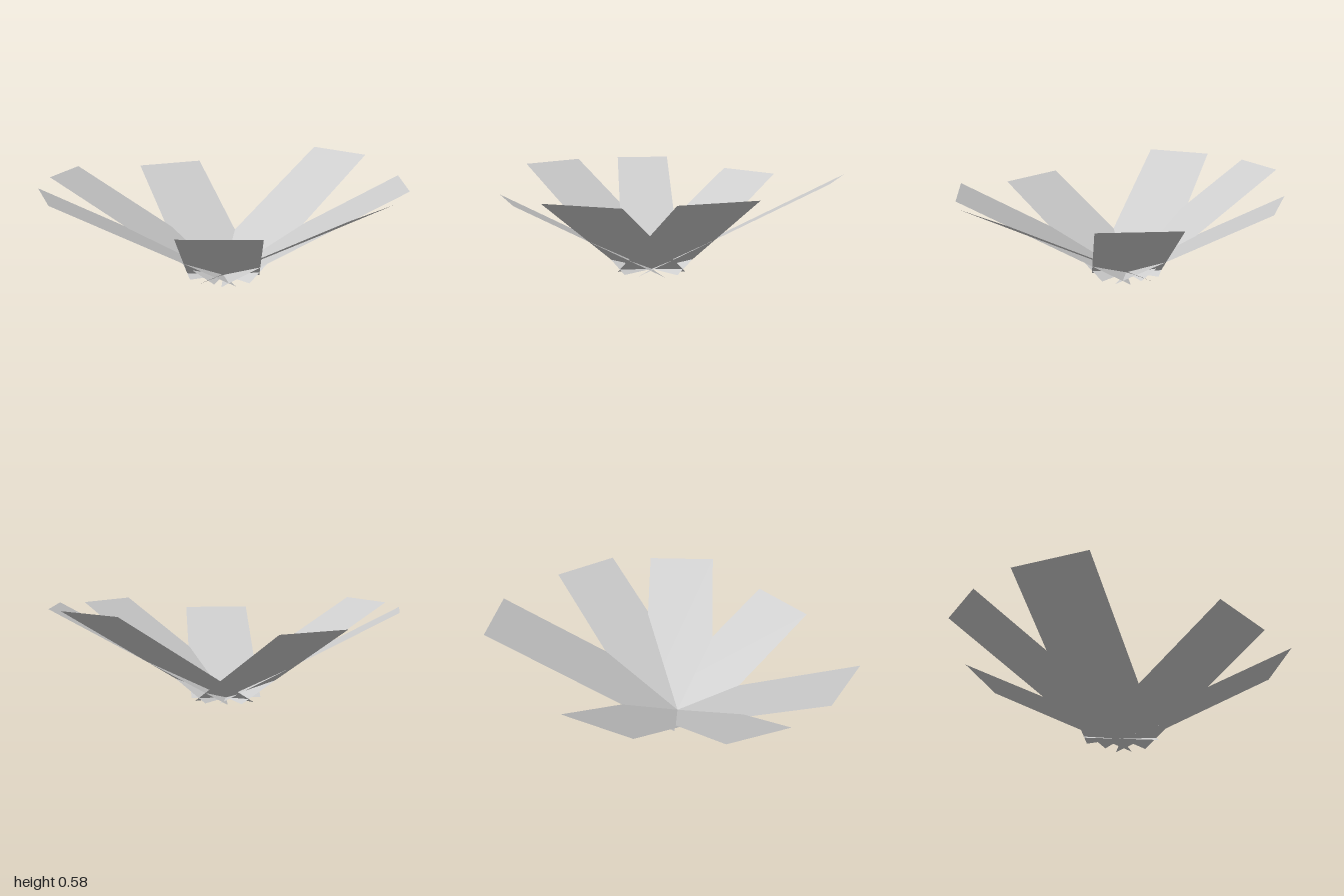
import * as THREE from 'three';

export function createModel() {
  const group = new THREE.Group();
  group.name = 'leafRosette';

  const leafGrey = new THREE.MeshStandardMaterial({ color: 0xcccccc, side: THREE.DoubleSide, flatShading: true });
  leafGrey.name = 'light grey';

  // every leaf is a flat card whose bottom edge is centred on the root
  const root = new THREE.Vector3(-0.005, 0, 0.105);

  // middle of each tip edge (x, y, z) and the card width
  const leaves = [
    [0.38, 0.585, -0.875, 0.41],
    [0.925, 0.55, -0.24, 0.41],
    [0.9, 0.53, 0.395, 0.41],
    [0.31, 0.458, 0.87, 0.41],
    [-0.72, 0.543, 0.78, 0.41],
    [-0.985, 0.543, 0.205, 0.34],
    [-0.65, 0.492, -0.5, 0.41],
  ];

  leaves.forEach(([x, y, z, width], i) => {
    const dx = x - root.x, dz = z - root.z;
    const reach = Math.hypot(dx, dz);
    const length = Math.hypot(reach, y);

    // stand the card on its edge, lean it outward, turn it to its heading
    const geometry = new THREE.PlaneGeometry(width, length)
      .translate(0, length / 2, 0)
      .rotateX(-Math.atan2(reach, y))
      .rotateY(Math.atan2(dx, dz) + Math.PI);

    const leaf = new THREE.Mesh(geometry, leafGrey);
    leaf.name = `leaf${i + 1}`;
    leaf.position.copy(root);
    group.add(leaf);
  });

  return group;
}
